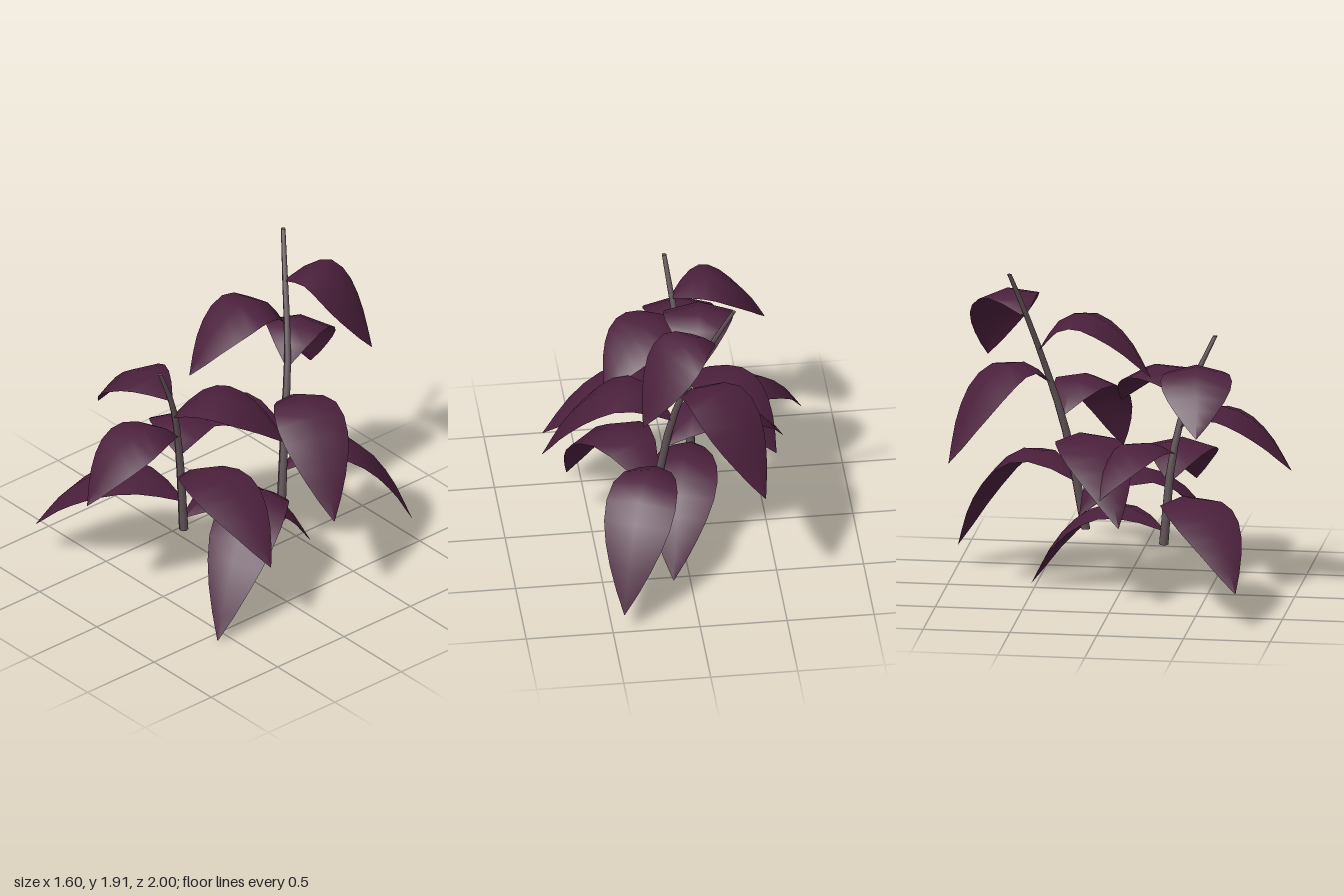
import * as THREE from 'three';

const V = (x, y, z) => new THREE.Vector3(x, y, z);

// Tapered stem: a cylinder bent along a curve
function makeStem(points, material) {
  const curve = new THREE.CatmullRomCurve3(points.map(p => V(...p)));
  const geo = new THREE.CylinderGeometry(0.013, 0.027, 1, 8, 8);
  const pos = geo.attributes.position;
  for (let i = 0; i < pos.count; i++) {
    const c = curve.getPoint(pos.getY(i) + 0.5);
    pos.setXYZ(i, c.x + pos.getX(i), c.y, c.z + pos.getZ(i));
  }
  geo.computeVertexNormals();
  const mesh = new THREE.Mesh(geo, material);
  mesh.name = 'stem';
  return mesh;
}

// Half-width of the blade along its length
const widths = [0.02, 0.095, 0.152, 0.19, 0.204, 0.195, 0.165, 0.121, 0.067, 0.002];

// Arching leaf, folded slightly along the midrib
function makeLeaf(base, tip, peak, material) {
  const rise = peak - base.y, drop = peak - tip.y;
  const at = (f, y) => V(base.x + (tip.x - base.x) * f, y, base.z + (tip.z - base.z) * f);
  const curve = new THREE.CatmullRomCurve3([
    base, at(0.18, base.y + rise * 0.76), at(0.39, peak),
    at(0.61, peak - drop * 0.145), at(0.82, peak - drop * 0.49), tip,
  ]);
  const side = V(tip.z - base.z, 0, base.x - tip.x).normalize();
  const verts = [], index = [], n = widths.length - 1;
  widths.forEach((w, i) => {
    const p = curve.getPointAt(i / n);
    const normal = curve.getTangentAt(i / n).cross(side).normalize();
    for (const k of [1, 0, -1]) {
      const q = p.clone().addScaledVector(side, k * w);
      if (k) q.addScaledVector(normal, -0.25 * w);
      verts.push(q.x, q.y, q.z);
    }
    if (i < n) for (let j = 0; j < 2; j++) {
      const a = i * 3 + j;
      index.push(a, a + 1, a + 3, a + 1, a + 4, a + 3);
    }
  });
  const geo = new THREE.BufferGeometry();
  geo.setAttribute('position', new THREE.Float32BufferAttribute(verts, 3));
  geo.setIndex(index);
  geo.computeVertexNormals();
  const mesh = new THREE.Mesh(geo, material);
  mesh.name = 'leaf';
  return mesh;
}

// Each leaf: base x, y, z, tip x, y, z, peak height
const plants = [
  {
    name: 'tallBackPlant',
    stem: [[0.18, 0.32, -0.23], [0.1, 0.91, -0.33], [0.02, 1.26, -0.42], [-0.13, 1.66, -0.53], [-0.24, 1.92, -0.61]],
    leaves: [
      [0.165, 0.43, -0.24, 0.575, 0.02, 0.585, 0.66],
      [0.14, 0.62, -0.28, 0.435, 0.13, -1.0, 0.77],
      [0.115, 0.82, -0.32, -0.61, 0.54, 0.07, 0.97],
      [0.08, 1.02, -0.355, 0.8, 0.65, -0.1, 1.19],
      [0.03, 1.22, -0.41, -0.385, 0.83, -0.94, 1.375],
      [-0.06, 1.44, -0.46, -0.13, 1.31, 0.19, 1.67],
      [-0.135, 1.66, -0.54, 0.305, 1.3, -0.81, 1.77],
    ],
  },
  {
    name: 'shortFrontPlant',
    stem: [[-0.1, 0.32, 0.26], [-0.08, 0.85, 0.31], [-0.02, 1.24, 0.41], [0.02, 1.53, 0.54]],
    leaves: [
      [-0.1, 0.41, 0.255, 0.095, 0.01, -0.53, 0.53],
      [-0.095, 0.53, 0.275, -0.8, 0.23, 0.77, 0.67],
      [-0.09, 0.7, 0.29, 0.745, 0.49, 0.33, 0.86],
      [-0.08, 0.86, 0.31, -0.54, 0.59, -0.165, 0.95],
      [-0.06, 1.01, 0.35, -0.09, 0.78, 0.995, 1.14],
      [-0.035, 1.17, 0.39, 0.435, 1.02, -0.06, 1.315],
      [-0.01, 1.31, 0.435, -0.555, 1.07, 0.51, 1.41],
    ],
  },
];

export function createModel() {
  const leafMat = new THREE.MeshStandardMaterial({ color: 0x4b203c, side: THREE.DoubleSide });
  leafMat.name = 'dark plum';
  const stemMat = new THREE.MeshStandardMaterial({ color: 0x635459 });
  stemMat.name = 'grey brown';

  const model = new THREE.Group();
  model.name = 'leafyPlant';
  for (const plant of plants) {
    const group = new THREE.Group();
    group.name = plant.name;
    group.add(makeStem(plant.stem, stemMat));
    for (const [bx, by, bz, tx, ty, tz, peak] of plant.leaves)
      group.add(makeLeaf(V(bx, by, bz), V(tx, ty, tz), peak, leafMat));
    model.add(group);
  }
  return model;
}
